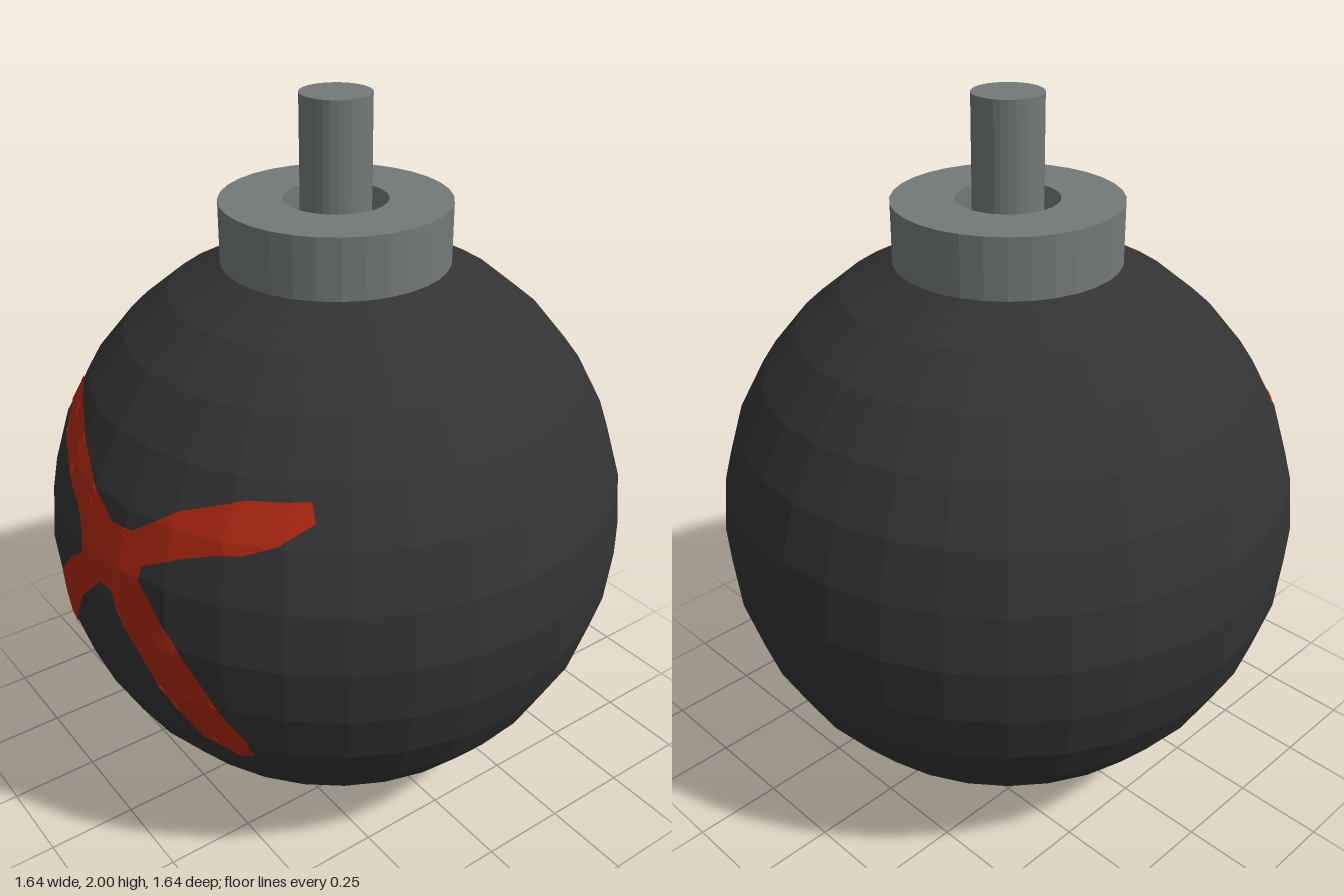
import * as THREE from 'three';

const SIDES = 32, STEP = Math.PI / 16;
const R = 0.818, CENTER = R * Math.cos(STEP);

const black = new THREE.MeshStandardMaterial({ color: 0x333333 });
black.name = 'matte black';
const grey = new THREE.MeshStandardMaterial({ color: 0x737878 });
grey.name = 'metal grey';
const red = new THREE.MeshStandardMaterial({ color: 0xad2711 });
red.name = 'paint red';

// Faceted surface of revolution, profile listed as [radius, y]
function turned(name, profile, material) {
  const points = profile.map(([r, y]) => new THREE.Vector2(r, y));
  const geometry = new THREE.LatheGeometry(points, SIDES).toNonIndexed();
  geometry.computeVertexNormals();
  const mesh = new THREE.Mesh(geometry, material);
  mesh.name = name;
  return mesh;
}

// Depth of the faceted ball at a front position: the nearest of its facet planes
function ballDepth(x, y) {
  let depth = Infinity;
  for (let i = 1; i < 15; i++) {
    const a = i * STEP, b = a + STEP, c = Math.cos(STEP / 2);
    const r1 = R * Math.sin(a) * c, r2 = R * Math.sin(b) * c;
    const y1 = R * Math.cos(a), y2 = R * Math.cos(b);
    const nr = y1 - y2, ny = r2 - r1, d = nr * r1 + ny * y1;
    for (let j = -8; j < 8; j++) {
      const phi = (j + 0.5) * STEP;
      const z = (d - nr * Math.sin(phi) * x - ny * (y - CENTER)) / (nr * Math.cos(phi));
      depth = Math.min(depth, z);
    }
  }
  return depth;
}

// Split every triangle into four
function subdivide(triangles) {
  const out = [];
  for (const [a, b, c] of triangles) {
    const ab = a.clone().lerp(b, 0.5), bc = b.clone().lerp(c, 0.5), ca = c.clone().lerp(a, 0.5);
    out.push([a, ab, ca], [ab, b, bc], [ca, bc, c], [ab, bc, ca]);
  }
  return out;
}

// Brushed cross, wrapped onto the ball
function paintedCross() {
  const outline = [
    [-0.56, 1.16], [-0.41, 1.19], [-0.39, 1.225], [-0.29, 1.23], [-0.17, 1.2], [-0.02, 1.13],
    [0.1, 1.065], [0.18, 1.07], [0.29, 1.155], [0.42, 1.21], [0.53, 1.22], [0.555, 1.175],
    [0.52, 1.125], [0.46, 1.09], [0.42, 1.085], [0.33, 1.05], [0.228, 0.995], [0.228, 0.955],
    [0.34, 0.82], [0.42, 0.655], [0.455, 0.52], [0.445, 0.45], [0.41, 0.43], [0.34, 0.485],
    [0.3, 0.575], [0.24, 0.7], [0.17, 0.82], [0.13, 0.885], [0.08, 0.885], [-0.01, 0.795],
    [-0.12, 0.65], [-0.195, 0.505], [-0.26, 0.435], [-0.33, 0.415], [-0.355, 0.44], [-0.31, 0.56],
    [-0.26, 0.645], [-0.17, 0.78], [-0.085, 0.875], [-0.005, 0.93], [-0.01, 0.975], [-0.065, 1.03],
    [-0.175, 1.085], [-0.305, 1.135], [-0.4, 1.155], [-0.545, 1.14],
  ].map(([x, y]) => new THREE.Vector2(x, y));
  const flat = new THREE.ShapeGeometry(new THREE.Shape(outline)).toNonIndexed();
  const pos = flat.attributes.position;
  const corner = (i) => new THREE.Vector3().fromBufferAttribute(pos, i);
  let triangles = [];
  for (let i = 0; i < pos.count; i += 3) triangles.push([corner(i), corner(i + 1), corner(i + 2)]);
  for (let level = 0; level < 4; level++) triangles = subdivide(triangles);
  const points = triangles.flat().map((p) => new THREE.Vector3(p.x, p.y, ballDepth(p.x, p.y) + 0.004));
  const geometry = new THREE.BufferGeometry().setFromPoints(points);
  geometry.computeVertexNormals();
  const mesh = new THREE.Mesh(geometry, red);
  mesh.name = 'paintedCross';
  return mesh;
}

export function createModel() {
  const model = new THREE.Group();
  model.name = 'roundBomb';

  // Ball with flattened poles
  const rings = [[0, 0]];
  for (let i = 15; i >= 1; i--) rings.push([R * Math.sin(i * STEP), CENTER + R * Math.cos(i * STEP)]);
  rings.push([0, 2 * CENTER]);
  model.add(turned('ball', rings, black));

  // Hollow collar and the stem standing in it
  model.add(turned('collar', [[0.14, 1.55], [0.31, 1.55], [0.31, 1.725], [0.14, 1.725], [0.14, 1.55]], grey));
  model.add(turned('stem', [[0, 1.55], [0.095, 1.55], [0.095, 2], [0, 2]], grey));

  model.add(paintedCross());
  return model;
}
